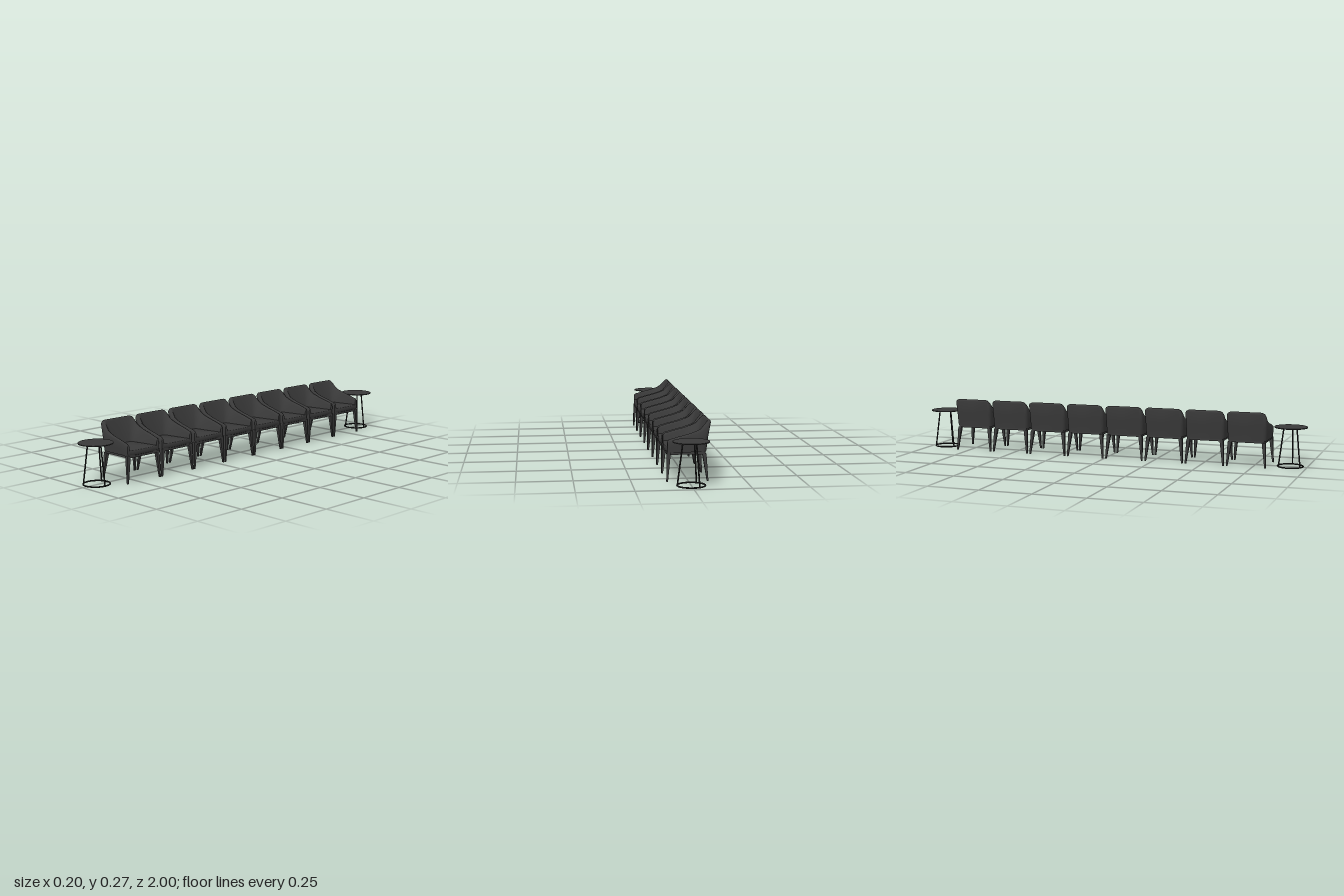
import * as THREE from 'three';
import { toCreasedNormals } from 'three/addons/utils/BufferGeometryUtils.js';

const fabric = new THREE.MeshStandardMaterial({ color: 0x3a3a3a });
const metal = new THREE.MeshStandardMaterial({ color: 0x222222 });

function part(name, geometry, material, parent) {
  const mesh = new THREE.Mesh(geometry, material);
  mesh.name = name;
  parent.add(mesh);
  return mesh;
}

// Half of the wraparound shell, from arm tip to middle of the back:
// outer x, z | inner top x, z | inner seat x, z | height
const STATIONS = [
  [0.092, 0.094, 0.092, 0.081, 0.092, 0.079, 0.177],
  [0.085, 0.097, 0.085, 0.082, 0.085, 0.077, 0.185],
  [0.04, 0.098, 0.04, 0.083, 0.04, 0.070, 0.198],
  [0, 0.098, 0, 0.083, 0, 0.063, 0.208],
  [-0.04, 0.098, -0.036, 0.082, -0.03, 0.057, 0.221],
  [-0.06, 0.098, -0.053, 0.081, -0.042, 0.053, 0.231],
  [-0.08, 0.097, -0.07, 0.079, -0.047, 0.048, 0.251],
  [-0.094, 0.094, -0.08, 0.075, -0.05, 0.042, 0.263],
  [-0.1, 0.084, -0.086, 0.067, -0.051, 0.035, 0.268],
  [-0.1, 0, -0.087, 0, -0.052, 0, 0.268],
];

// Closed cross-section of the shell: up the outside, over the rim, down the inside
function shellSection([ox, oz, tx, tz, ix, iz, h]) {
  const low = 0.128, rim = h - 0.01;
  const bx = ox < 0 ? ox * 0.8 : ox, bz = oz * 0.97;
  const mix = THREE.MathUtils.lerp;
  return [
    [bx, low, bz],
    [mix(bx, ox, 0.4), mix(low, rim, 0.5), mix(bz, oz, 0.7)],
    [ox, rim, oz],
    [mix(ox, tx, 0.15), h - 0.003, mix(oz, tz, 0.15)],
    [mix(ox, tx, 0.5), h, mix(oz, tz, 0.5)],
    [mix(ox, tx, 0.85), h - 0.003, mix(oz, tz, 0.85)],
    [tx, rim, tz],
    [mix(ix, tx, 0.35), mix(low, rim, 0.5), mix(iz, tz, 0.35)],
    [ix, low, iz],
  ];
}

function shellGeometry() {
  const half = STATIONS.map(shellSection);
  const mirrored = half.slice(0, -1).reverse().map((s) => s.map(([x, y, z]) => [x, y, -z]));
  const sections = [...half, ...mirrored];
  const n = half[0].length, index = [];
  for (let i = 0; i < sections.length - 1; i++) {
    for (let j = 0; j < n; j++) {
      const a = i * n + j, b = i * n + (j + 1) % n;
      index.push(a, b, a + n, b, b + n, a + n);
    }
  }
  // Arm tips
  const last = (sections.length - 1) * n;
  for (let j = 1; j < n - 1; j++) {
    index.push(0, j + 1, j, last, last + j, last + j + 1);
  }
  const g = new THREE.BufferGeometry();
  g.setAttribute('position', new THREE.Float32BufferAttribute(sections.flat(2), 3));
  g.setIndex(index);
  return toCreasedNormals(g, 0.9);
}

// Softly bevelled tapering seat pad
function cushionGeometry() {
  const s = new THREE.Shape();
  s.moveTo(-0.055, -0.051);
  s.lineTo(0.087, -0.075);
  s.quadraticCurveTo(0.097, 0, 0.087, 0.075);
  s.lineTo(-0.055, 0.051);
  s.closePath();
  const g = new THREE.ExtrudeGeometry(s, {
    depth: 0.014, bevelEnabled: true, bevelThickness: 0.006, bevelSize: 0.006, bevelSegments: 4, curveSegments: 8,
  });
  g.rotateX(-Math.PI / 2).translate(0, 0.133, 0);
  return toCreasedNormals(g, 0.7);
}

// Square leg tapering between two centres; sizes are full widths
function legGeometry(top, bottom, topSize, bottomSize, height) {
  const g = new THREE.BoxGeometry(1, height, 1);
  const p = g.attributes.position;
  for (let i = 0; i < p.count; i++) {
    const up = p.getY(i) > 0, c = up ? top : bottom, size = up ? topSize : bottomSize;
    p.setXYZ(i, c[0] + p.getX(i) * size, up ? height : 0, c[1] + p.getZ(i) * size);
  }
  g.computeVertexNormals();
  return g;
}

const shell = shellGeometry();
const cushion = cushionGeometry();
const seatBase = new THREE.BoxGeometry(0.168, 0.014, 0.178);

function createChair() {
  const chair = new THREE.Group();
  part('backAndArms', shell, fabric, chair);
  part('seatCushion', cushion, fabric, chair);
  part('seatBase', seatBase, fabric, chair).position.set(0.009, 0.124, 0);
  for (const side of [-1, 1]) {
    part('frontLeg', legGeometry([0.086, side * 0.086], [0.0935, side * 0.096], 0.018, 0.007, 0.128), fabric, chair);
    part('backLeg', legGeometry([-0.071, side * 0.083], [-0.085, side * 0.094], 0.018, 0.007, 0.12), fabric, chair);
  }
  return chair;
}

// Round side table on three splayed rods and a floor ring
function createTable() {
  const table = new THREE.Group();
  part('tableTop', new THREE.CylinderGeometry(0.08, 0.08, 0.004, 48), fabric, table).position.y = 0.193;
  const ring = new THREE.TorusGeometry(0.061, 0.0035, 10, 48).rotateX(Math.PI / 2);
  part('floorRing', ring, metal, table).position.y = 0.0035;
  for (let i = 0; i < 3; i++) {
    const a = (i * Math.PI * 2) / 3;
    const path = new THREE.LineCurve3(
      new THREE.Vector3(Math.cos(a) * 0.06, 0.004, Math.sin(a) * 0.06),
      new THREE.Vector3(Math.cos(a) * 0.036, 0.192, Math.sin(a) * 0.036),
    );
    part('tableLeg', new THREE.TubeGeometry(path, 1, 0.0035, 10), metal, table);
  }
  return table;
}

export function createModel() {
  const model = new THREE.Group();
  model.name = 'chairRow';
  // Eight chairs side by side, facing +x
  for (let i = 0; i < 8; i++) {
    const chair = createChair();
    chair.name = `chair${i + 1}`;
    chair.position.z = (i - 3.5) * 0.206;
    model.add(chair);
  }
  // A table at each end
  for (const side of [-1, 1]) {
    const table = createTable();
    table.name = side > 0 ? 'frontTable' : 'backTable';
    table.position.set(side * -0.002, 0, side * 0.92);
    model.add(table);
  }
  return model;
}
